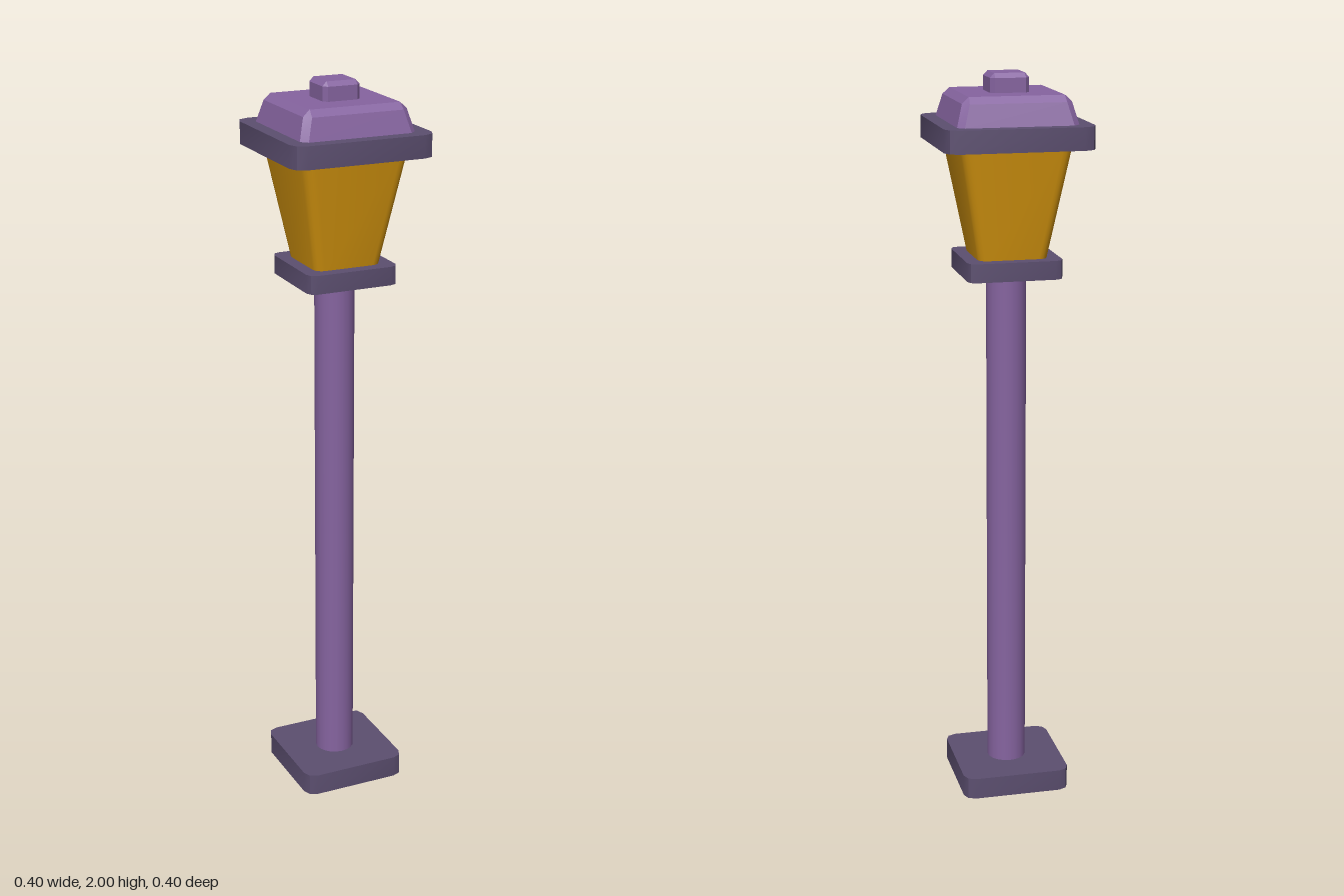
import * as THREE from 'three';
import { toCreasedNormals } from 'three/addons/utils/BufferGeometryUtils.js';

// Outline of a square with cut or rounded corners, running from +x towards +z
function outline(half, corner, segs) {
  const pts = [];
  for (let q = 0; q < 4; q++) {
    for (let s = 0; s <= segs; s++) {
      const a = (s / segs) * Math.PI / 2;
      const u = half - corner + corner * Math.cos(a);
      const v = half - corner + corner * Math.sin(a);
      pts.push([[u, v], [-v, u], [-u, -v], [v, -u]][q]);
    }
  }
  return pts;
}

// Stack of square sections [y, half width, corner size], capped at the ends
function squareLoft(sections, segs, crease, openBottom = false) {
  const pos = [], index = [], n = 4 * (segs + 1), last = sections.length - 1;
  for (const [y, half, corner] of sections)
    for (const [x, z] of outline(half, corner, segs)) pos.push(x, y, z);
  pos.push(0, sections[0][0], 0, 0, sections[last][0], 0);
  const bottom = n * (last + 1), top = bottom + 1;
  for (let i = 0; i < n; i++) {
    const j = (i + 1) % n;
    for (let k = 0; k < last; k++) {
      const a = k * n + i, b = k * n + j;
      index.push(a, a + n, b, b, a + n, b + n);
    }
    if (!openBottom) index.push(bottom, i, j);
    index.push(top, last * n + j, last * n + i);
  }
  const geo = new THREE.BufferGeometry();
  geo.setAttribute('position', new THREE.Float32BufferAttribute(pos, 3));
  geo.setIndex(index);
  return toCreasedNormals(geo, crease);
}

export function createModel() {
  const group = new THREE.Group();
  const material = (name, color, side = THREE.FrontSide) => {
    const m = new THREE.MeshStandardMaterial({ color, side });
    m.name = name;
    return m;
  };
  const purple = material('purple metal', 0x8664a0, THREE.DoubleSide);
  const dark = material('dark purple metal', 0x5c4f70, THREE.DoubleSide);
  const amber = material('amber glass', 0xd6960f);

  const add = (name, geo, mat) => {
    const mesh = new THREE.Mesh(geo, mat);
    mesh.name = name;
    group.add(mesh);
    return mesh;
  };
  const slab = (y0, y1, half, corner) => [[y0, half, corner], [y1, half, corner]];

  // Hollow foot and the open tube standing in it
  add('base', squareLoft(slab(0, 0.06, 0.15, 0.03), 2, 0.5, true), dark);
  add('pole', new THREE.CylinderGeometry(0.054, 0.054, 1.48, 20, 1, true), purple).position.y = 0.74;

  // Lantern between its two plates
  add('collar', squareLoft(slab(1.47, 1.52, 0.128, 0.023), 2, 0.5), dark);
  add('lanternGlass', squareLoft([[1.515, 0.0925, 0.025], [1.82, 0.148, 0.03]], 4, 0.9), amber);
  add('eave', squareLoft(slab(1.815, 1.875, 0.198, 0.036), 2, 0.5), dark);

  // Bevelled cap and finial
  add('roof', squareLoft([
    [1.875, 0.16, 0.017], [1.933, 0.144, 0.017], [1.95, 0.126, 0.001],
  ], 1, 0.4), purple);
  add('finial', squareLoft([
    [1.948, 0.052, 0.011], [1.988, 0.052, 0.011], [2.0, 0.041, 0.001],
  ], 1, 0.4), purple);

  return group;
}
